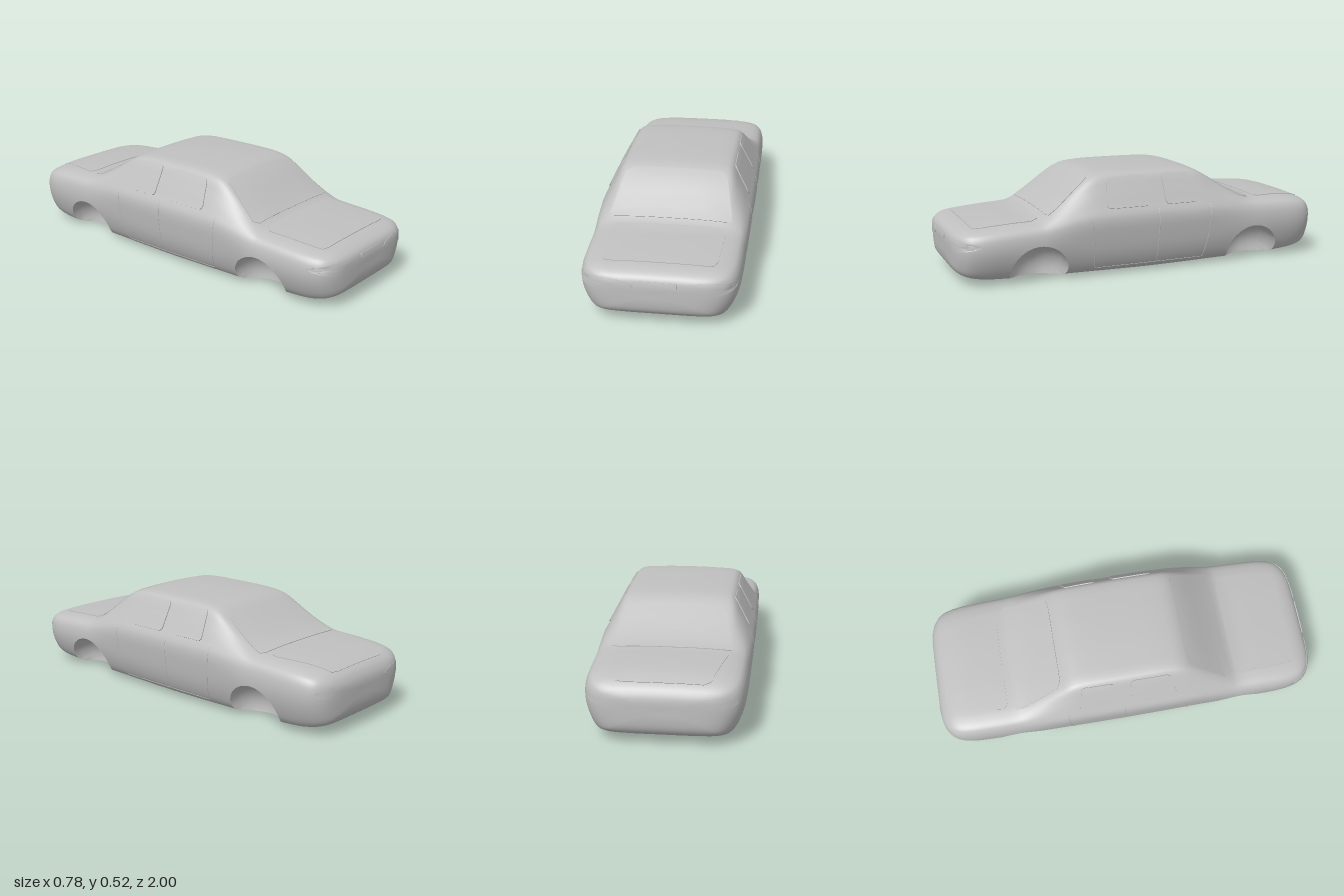
import * as THREE from 'three';
import { mergeVertices } from 'three/addons/utils/BufferGeometryUtils.js';

const V = (x, y, z) => new THREE.Vector3(x, y, z);
const lerp = THREE.MathUtils.lerp;
const clamp01 = (t) => Math.min(1, Math.max(0, t));

// Stations along the body: z, half width, underside height, top height
const STATIONS = [
  [-1, 0, 0.18, 0.18], [-0.999, 0.16, 0.13, 0.225], [-0.99, 0.25, 0.088, 0.255], [-0.97, 0.306, 0.06, 0.283],
  [-0.93, 0.348, 0.04, 0.308], [-0.86, 0.37, 0.025, 0.324], [-0.72, 0.378, 0.014, 0.335], [-0.59, 0.38, 0.01, 0.342],
  [-0.54, 0.381, 0.009, 0.357], [-0.45, 0.382, 0.008, 0.405], [-0.36, 0.382, 0.007, 0.462], [-0.3, 0.382, 0.006, 0.497],
  [-0.24, 0.382, 0.005, 0.512], [0, 0.383, 0.003, 0.52], [0.24, 0.382, 0.006, 0.515], [0.3, 0.382, 0.007, 0.5],
  [0.36, 0.382, 0.008, 0.463], [0.45, 0.382, 0.01, 0.393], [0.53, 0.381, 0.012, 0.335], [0.58, 0.38, 0.014, 0.311],
  [0.72, 0.378, 0.018, 0.3], [0.86, 0.37, 0.026, 0.289], [0.93, 0.348, 0.04, 0.28], [0.97, 0.306, 0.06, 0.264],
  [0.99, 0.25, 0.085, 0.245], [0.999, 0.16, 0.125, 0.215], [1, 0, 0.17, 0.17],
];
// Half cross-sections (x, y) of the cabin and of the hood, from floor to top
const CABIN = [[0, 0.003], [0.2, 0.005], [0.285, 0.012], [0.325, 0.03], [0.36, 0.1], [0.379, 0.2], [0.383, 0.3],
  [0.352, 0.365], [0.312, 0.44], [0.281, 0.492], [0.256, 0.508], [0.15, 0.517], [0, 0.52]];
const HOOD = [[0, 0.017], [0.2, 0.018], [0.285, 0.024], [0.325, 0.04], [0.36, 0.1], [0.379, 0.175], [0.374, 0.235],
  [0.357, 0.265], [0.332, 0.279], [0.3, 0.287], [0.268, 0.291], [0.15, 0.296], [0, 0.297]];

// Wheel wells: spheres cut into the lower flanks
const R = 0.15;
const WELLS = [];
for (const s of [1, -1]) for (const z of [0.59, -0.595]) WELLS.push(V(s * 0.36, 0.043, z));

function section([z, w, yb, yt]) {
  const base = z > 0 ? 0.31 : 0.342;
  const k = clamp01((yt - base) / (0.515 - base));
  const half = CABIN.map((c, i) => {
    const h = HOOD[i];
    const v = lerp((h[1] - 0.017) / 0.28, (c[1] - 0.003) / 0.517, k);
    return V(lerp(h[0], c[0], k) * w / 0.382, yb + v * (yt - yb), z);
  });
  return half.concat(half.slice(1, -1).reverse().map((p) => V(-p.x, p.y, z)));
}

// Smooth grid of points lofted through the stations
function loftTriangles(nz, nr) {
  const secs = STATIONS.map(section);
  const rails = secs[0].map((_, j) => new THREE.CatmullRomCurve3(secs.map((s) => s[j])));
  const rings = [];
  for (let i = 0; i <= nz; i++) {
    const ring = new THREE.CatmullRomCurve3(rails.map((r) => r.getPoint(i / nz)), true);
    rings.push(Array.from({ length: nr }, (_, j) => ring.getPoint(j / nr)));
  }
  const tris = [];
  for (let i = 0; i < nz; i++) for (let j = 0; j < nr; j++) {
    const n = (j + 1) % nr;
    const a = rings[i][j], b = rings[i][n], c = rings[i + 1][n], d = rings[i + 1][j];
    if (i > 0) tris.push([a, b, c]);
    if (i < nz - 1) tris.push([a, c, d]);
    else if (i === 0) tris.push([a, c, d]);
  }
  return tris;
}

function smoothGeometry(tris) {
  const pos = [];
  for (const t of tris) for (const p of t) pos.push(p.x, p.y, p.z);
  let g = new THREE.BufferGeometry();
  g.setAttribute('position', new THREE.Float32BufferAttribute(pos, 3));
  g = mergeVertices(g, 1e-5);
  g.computeVertexNormals();
  return g;
}

const wellDistance = (p) => Math.min(...WELLS.map((c) => c.distanceTo(p))) - R;

// Push a point on the body skin inward and up to the wall of its well
function pushIn(p) {
  const c = WELLS.find((w) => w.distanceTo(p) < R);
  if (!c) return p;
  const d = V(-0.85 * Math.sign(c.x), 0.527, 0).normalize();
  const m = p.clone().sub(c), b = m.dot(d);
  return p.clone().addScaledVector(d, -b + Math.sqrt(Math.max(0, b * b - m.lengthSq() + R * R)));
}

// Split triangles along the well rims into body skin and well linings
function cutWells(tris) {
  const skin = [], lining = [];
  const fan = (poly, out) => { for (let i = 2; i < poly.length; i++) out.push([poly[0], poly[i - 1], poly[i]]); };
  for (const t of tris) {
    const f = t.map(wellDistance);
    if (f.every((v) => v >= 0)) { skin.push(t); continue; }
    const outside = [], inside = [];
    t.forEach((p, i) => {
      if (f[i] >= 0) outside.push(p); else inside.push(pushIn(p));
      const q = t[(i + 1) % 3];
      if ((f[i] >= 0) === (f[(i + 1) % 3] >= 0)) return;
      let lo = 0, hi = 1;
      for (let k = 0; k < 24; k++) {
        const mid = (lo + hi) / 2;
        if ((wellDistance(p.clone().lerp(q, mid)) >= 0) === (f[i] >= 0)) lo = mid; else hi = mid;
      }
      const x = p.clone().lerp(q, lo);
      outside.push(x);
      inside.push(x);
    });
    fan(outside, skin);
    fan(inside, lining);
  }
  return { skin, lining };
}

// Outlines in two coordinates
function roundedQuad(pts, r = 0.12) {
  const p = pts.map(([x, y]) => new THREE.Vector2(x, y));
  const s = new THREE.Shape();
  p.forEach((c, i) => {
    const a = c.clone().lerp(p[(i + 3) % 4], r), b = c.clone().lerp(p[(i + 1) % 4], r);
    if (i) s.lineTo(a.x, a.y); else s.moveTo(a.x, a.y);
    s.quadraticCurveTo(c.x, c.y, b.x, b.y);
  });
  s.closePath();
  return s;
}
const ellipse = (x, y, a, b) => new THREE.Shape().absellipse(x, y, a, b, 0, Math.PI * 2);
const trapezoid = (x0, z0, x1, z1, r) => roundedQuad([[-x0, z0], [x0, z0], [x1, z1], [-x1, z1]], r);

export function createModel() {
  const paint = new THREE.MeshStandardMaterial({ color: 0xc0c0c0, side: THREE.DoubleSide });
  paint.name = 'body grey';
  const car = new THREE.Group();
  car.name = 'car';
  const add = (name, geometry) => {
    const m = new THREE.Mesh(geometry, paint);
    m.name = name;
    car.add(m);
    return m;
  };

  // Body shell and wheel wells
  const tris = loftTriangles(104, 96);
  const { skin, lining } = cutWells(tris);
  add('bodyShell', smoothGeometry(skin));
  add('wheelWells', smoothGeometry(lining));

  // Projection of flat coordinates onto the body
  const target = new THREE.Mesh(smoothGeometry(tris), paint);
  const ray = new THREE.Raycaster();
  const VIEWS = {
    left: (u, v) => [V(2, v, u), V(-1, 0, 0)],
    right: (u, v) => [V(-2, v, u), V(1, 0, 0)],
    front: (u, v) => [V(u, v, 2), V(0, 0, -1)],
    back: (u, v) => [V(u, v, -2), V(0, 0, 1)],
    top: (u, v) => [V(u, 2, v), V(0, -1, 0)],
  };
  function project(view, u, v, lift) {
    const [o, d] = VIEWS[view](u, v);
    ray.set(o, d);
    const hit = ray.intersectObject(target)[0];
    return hit.point.addScaledVector(hit.face.normal, lift);
  }

  // Thin plate following the body, with its rim sunk into the skin
  function plate(name, view, shape, lift) {
    const pts = shape.getSpacedPoints(40).slice(0, 40), n = 40, rings = 4;
    const mid = pts.reduce((s, p) => s.add(p), new THREE.Vector2()).divideScalar(n);
    const at = (k, h) => pts.map((p) => project(view, lerp(mid.x, p.x, k), lerp(mid.y, p.y, k), h));
    const rows = [at(0.001, lift)];
    for (let k = 1; k <= rings; k++) rows.push(at(k / rings, lift));
    const rim = [rows[rings], at(1, -0.003)];
    const strip = (list) => {
      const out = [];
      for (let i = 0; i + 1 < list.length; i++) for (let j = 0; j < n; j++) {
        const m = (j + 1) % n, a = list[i], b = list[i + 1];
        out.push([a[j], b[j], b[m]], [a[j], b[m], a[m]]);
      }
      // Make the plate face outward
      const nrm = new THREE.Triangle(...out[n]).getNormal(V(0, 0, 0));
      return { out, flip: nrm.dot(VIEWS[view](0, 0)[1]) > 0 };
    };
    const face = strip(rows), edge = strip(rim);
    const turn = (list) => (face.flip ? list.map(([a, b, c]) => [a, c, b]) : list);
    add(name, smoothGeometry(turn(face.out)));
    add(name + 'Rim', smoothGeometry(turn(edge.out)));
  }

  // Fine raised line following the body
  function seam(name, view, path) {
    const curve = new THREE.CatmullRomCurve3(path.map(([u, v]) => project(view, u, v, 0)));
    add(name, new THREE.TubeGeometry(curve, 30, 0.002, 6));
  }

  // Glass, lids and grille bar
  plate('windshield', 'top', trapezoid(0.25, 0.305, 0.305, 0.535, 0.08), 0.003);
  plate('rearWindow', 'top', trapezoid(0.245, -0.345, 0.295, -0.6, 0.08), 0.003);
  plate('hood', 'top', trapezoid(0.28, 0.57, 0.265, 0.9, 0.08), 0.003);
  plate('trunkLid', 'top', trapezoid(0.28, -0.635, 0.215, -0.95, 0.08), 0.003);
  plate('grilleBar', 'front', roundedQuad([[-0.095, 0.211], [0.095, 0.211], [0.095, 0.236], [-0.095, 0.236]], 0.08), 0.005);

  // Side windows, door seams and lamps on both sides
  for (const [side, s] of [['left', 1], ['right', -1]]) {
    plate(side + 'FrontWindow', side, roundedQuad([[0.245, 0.345], [0.005, 0.345], [0.005, 0.49], [0.215, 0.487]]), 0.005);
    plate(side + 'RearWindow', side, roundedQuad([[-0.08, 0.345], [-0.268, 0.345], [-0.245, 0.487], [-0.08, 0.49]]), 0.005);
    for (const [z, bend] of [[0.3, 0.03], [-0.035, 0], [-0.3, -0.03]]) {
      const path = [];
      for (let i = 0; i <= 10; i++) path.push([z + bend * Math.sin(i / 10 * Math.PI / 2), 0.045 + i * 0.029]);
      seam(side + 'DoorSeam', side, path);
    }
    seam(side + 'SillSeam', side, Array.from({ length: 9 }, (_, i) => [0.3 - i * 0.075, 0.045]));
    plate(side + 'Headlamp', 'front', ellipse(s * 0.236, 0.21, 0.128, 0.03), 0.003);
    plate(side + 'TailLamp', 'back', ellipse(s * 0.25, 0.22, 0.09, 0.027), 0.002);
  }
  return car;
}
